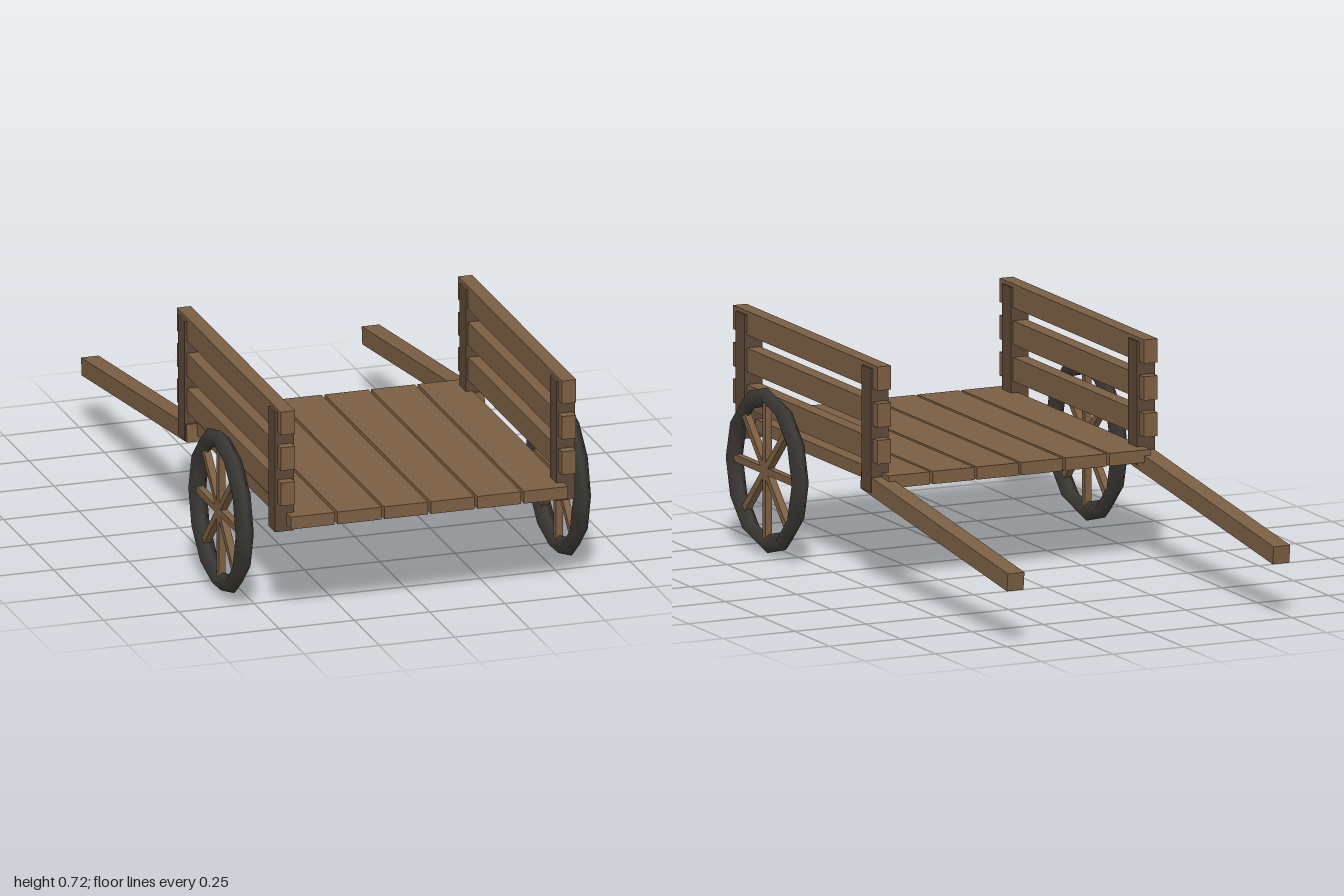
import * as THREE from 'three';

const material = (name, color) => {
  const m = new THREE.MeshStandardMaterial({ color });
  m.name = name;
  return m;
};

export function createModel() {
  const wood = material('wood', 0x7a5e42);
  const darkWood = material('darkWood', 0x5c4736);
  const rimGrey = material('rimGrey', 0x3b3935);

  const cart = new THREE.Group();
  cart.name = 'handcart';

  const box = (parent, name, mat, size, pos) => {
    const mesh = new THREE.Mesh(new THREE.BoxGeometry(...size), mat);
    mesh.name = name;
    mesh.position.set(...pos);
    parent.add(mesh);
    return mesh;
  };

  // Deck of six long planks
  for (let i = 0; i < 6; i++) {
    box(cart, 'deckPlank', wood, [0.145, 0.041, 1.066], [(i - 2.5) * 0.1548, 0.351, 0.465]);
  }

  for (const side of [-1, 1]) {
    const sideName = side > 0 ? 'left' : 'right';

    // Side fence: three rails on two posts
    const fence = new THREE.Group();
    fence.name = sideName + 'Fence';
    for (const y of [0.447, 0.565, 0.684]) {
      box(fence, 'rail', wood, [0.047, 0.077, 1.04], [side * 0.467, y, 0.468]);
    }
    for (const z of [0.015, 0.922]) {
      box(fence, 'post', darkWood, [0.062, 0.4, 0.065], [side * 0.467, 0.511, z]);
    }
    cart.add(fence);

    // Pulling shaft sloping down to the back
    const shaft = box(cart, sideName + 'Shaft', wood, [0.058, 0.058, 1.063], [side * 0.466, 0.274, -0.467]);
    shaft.rotation.x = -Math.atan2(0.131, 1.058);

    // Wheel: twelve-sided rim with a diamond section, and eight spokes
    const wheel = new THREE.Group();
    wheel.name = sideName + 'Wheel';
    const rim = new THREE.Mesh(new THREE.TorusGeometry(0.237, 0.03, 4, 12), rimGrey);
    rim.name = 'rim';
    wheel.add(rim);
    for (let i = 0; i < 4; i++) {
      const spoke = box(wheel, 'spokePair', wood, [0.45, 0.023, 0.023], [0, 0, 0]);
      spoke.rotation.z = i * Math.PI / 4;
    }
    wheel.rotation.y = Math.PI / 2;
    wheel.position.set(side * 0.56, 0.271, 0.6);
    cart.add(wheel);
  }
  return cart;
}
